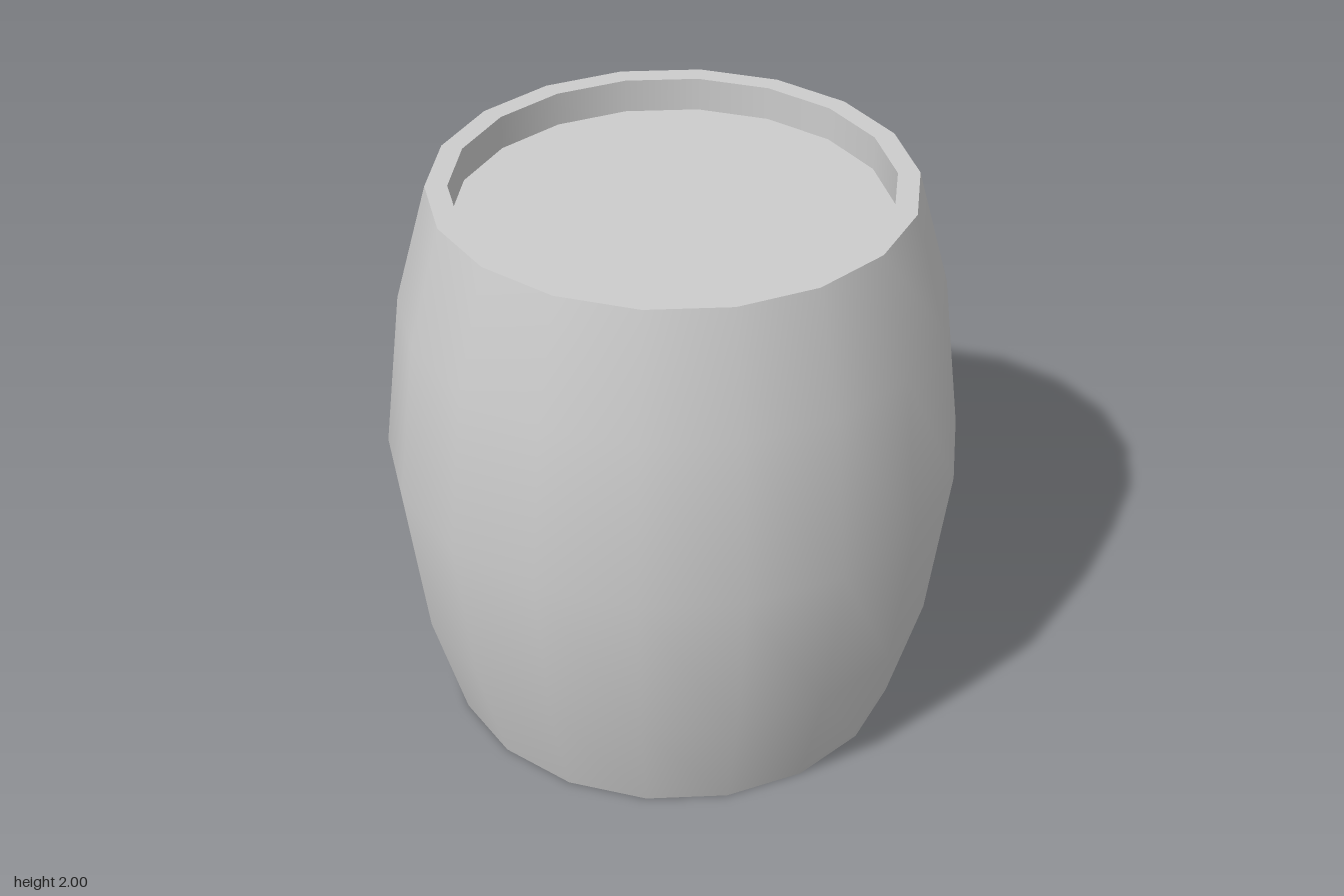
import * as THREE from 'three';

const SIDES = 18;
const RIM = 0.815, INNER = 0.74, RECESS = 0.12, HEIGHT = 2;

export function createModel() {
  const barrel = new THREE.Group();
  barrel.name = 'barrel';
  const material = new THREE.MeshStandardMaterial({ color: 0xcccccc });

  // Each ring of the profile is its own lathe, so edges between parts stay sharp
  const addLathe = (name, profile) => {
    const points = profile.map(([r, y]) => new THREE.Vector2(r, y));
    const mesh = new THREE.Mesh(new THREE.LatheGeometry(points, SIDES), material);
    mesh.name = name;
    barrel.add(mesh);
  };

  // Bulging outer wall
  addLathe('staves', [[RIM, 0], [0.93, 0.42], [1, 1], [0.93, 1.58], [RIM, HEIGHT]]);

  // Rim, recess wall and sunken head at the top, mirrored at the bottom
  for (const end of ['top', 'bottom']) {
    const top = end === 'top';
    const edge = top ? HEIGHT : 0;
    const head = top ? HEIGHT - RECESS : RECESS;
    const parts = {
      Rim: [[RIM, edge], [INNER, edge]],
      RecessWall: [[INNER, edge], [INNER, head]],
      Head: [[INNER, head], [0, head]],
    };
    for (const [part, profile] of Object.entries(parts)) {
      addLathe(end + part, top ? profile : profile.reverse());
    }
  }
  return barrel;
}
